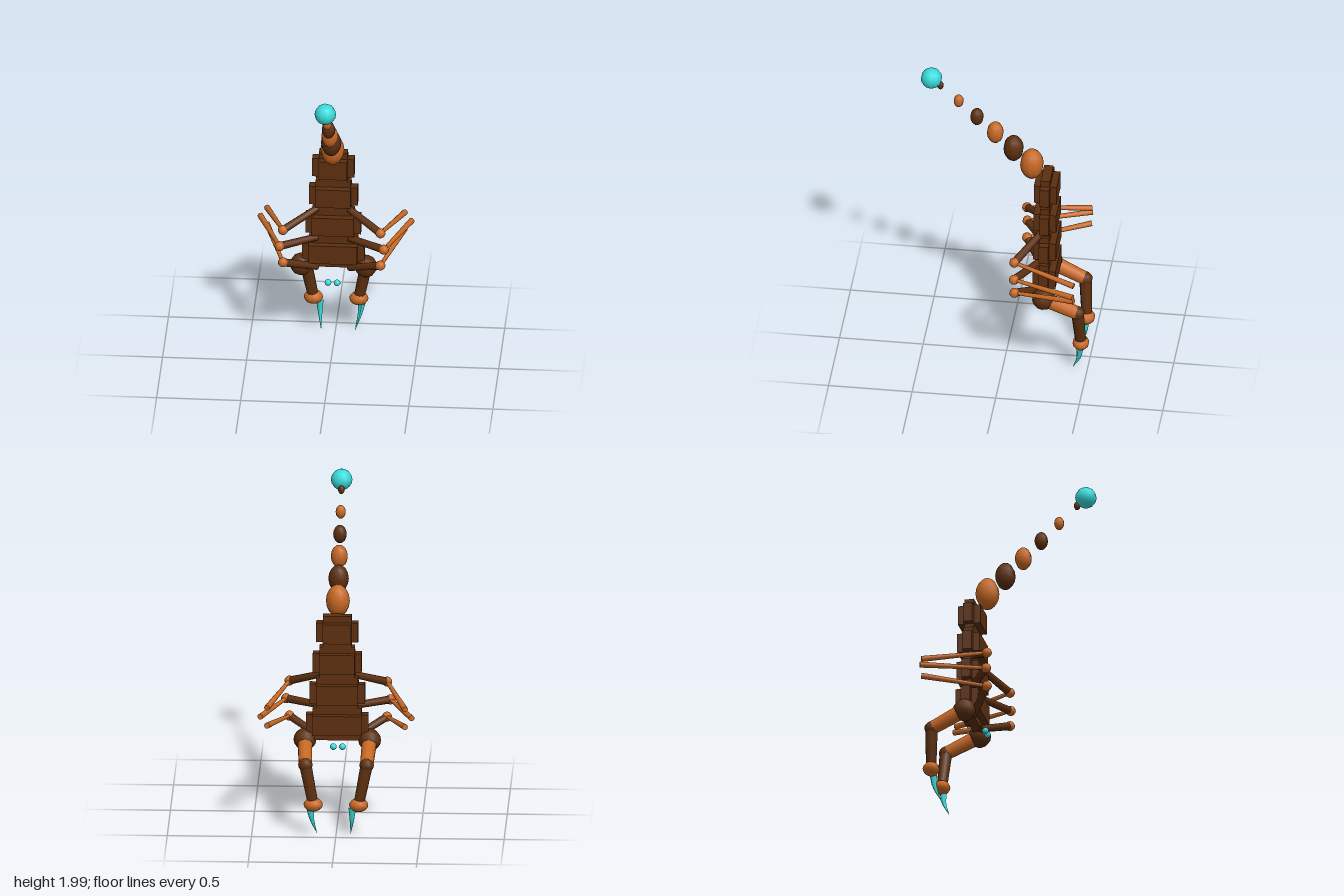
import * as THREE from 'three';

const dark = new THREE.MeshStandardMaterial({ color: 0x5c2f0f });
dark.name = 'dark brown';
const orange = new THREE.MeshStandardMaterial({ color: 0xc66824 });
orange.name = 'orange brown';
const cyan = new THREE.MeshStandardMaterial({ color: 0x38dada });
cyan.name = 'turquoise';

const V = (x, y, z) => new THREE.Vector3(x, y, z);

function add(parent, name, geometry, material) {
  const mesh = new THREE.Mesh(geometry, material);
  mesh.name = name;
  parent.add(mesh);
  return mesh;
}

// Ellipsoid joint
function ball(parent, name, material, p, rx, ry = rx, rz = rx) {
  const mesh = add(parent, name, new THREE.SphereGeometry(1, 10, 8), material);
  mesh.position.copy(p);
  mesh.scale.set(rx, ry, rz);
}

// Tapered limb from a to b
function limb(parent, name, material, a, b, ra, rb) {
  const d = b.clone().sub(a);
  const mesh = add(parent, name, new THREE.CylinderGeometry(rb, ra, d.length(), 10), material);
  mesh.position.copy(a).addScaledVector(d, 0.5);
  mesh.quaternion.setFromUnitVectors(V(0, 1, 0), d.normalize());
}

// Curved claw: a tube whose rings shrink towards the tip
function claw(parent, points, radius) {
  const curve = new THREE.CatmullRomCurve3(points);
  const rings = 8, sides = 8;
  const geo = new THREE.TubeGeometry(curve, rings, radius, sides);
  const pos = geo.attributes.position;
  const v = V(0, 0, 0);
  for (let i = 0; i < pos.count; i++) {
    const t = Math.floor(i / (sides + 1)) / rings;
    const c = curve.getPointAt(t);
    v.fromBufferAttribute(pos, i).sub(c).multiplyScalar(1 - 0.97 * t).add(c);
    pos.setXYZ(i, v.x, v.y, v.z);
  }
  geo.computeVertexNormals();
  add(parent, 'claw', geo, cyan);
}

export function createModel() {
  const model = new THREE.Group();
  model.name = 'creature';

  // Torso: four stepped blocks, each made of three crossing boxes
  const h = 0.2, d = 0.137, r = 0.04;
  [[0.64, 0.37], [0.828, 0.33], [1.02, 0.29], [1.21, 0.25]].forEach(([y, w]) => {
    const block = new THREE.Group();
    block.name = 'torsoSegment';
    block.position.set(0, y, -0.242);
    add(block, 'core', new THREE.BoxGeometry(w - 2 * r, h, d - 2 * r), dark);
    add(block, 'sidePlates', new THREE.BoxGeometry(w, h - 2 * r, d - 2 * r), dark);
    add(block, 'frontAndBackPlates', new THREE.BoxGeometry(w - 2 * r, h - 2 * r, d), dark);
    model.add(block);
  });

  // Tail: beads shrinking towards the glowing tip
  const tail = new THREE.Group();
  tail.name = 'tail';
  for (let i = 0; i < 6; i++) {
    const s = 0.071 - 0.0103 * i;
    ball(tail, 'tailBead', i % 2 ? dark : orange,
      V(0, 1.372 + 0.1035 * i, -0.151 + 0.1095 * i), s, s * 1.4, s);
  }
  ball(tail, 'tailTip', cyan, V(0, 1.936, 0.45), 0.064);
  model.add(tail);

  for (const s of [-1, 1]) {
    // Eyes under the torso
    ball(model, 'eye', cyan, V(s * 0.027, 0.465, -0.157), 0.02);

    // Hind leg
    const leg = new THREE.Group();
    leg.name = s > 0 ? 'leftLeg' : 'rightLeg';
    const hip = V(s * 0.192, 0.537, -0.245);
    const knee = V(s * 0.182, 0.443, -0.448);
    const foot = V(s * 0.135, 0.2, -0.462);
    ball(leg, 'hip', dark, hip, 0.068);
    limb(leg, 'thigh', orange, hip, knee, 0.046, 0.04);
    ball(leg, 'knee', dark, knee, 0.043);
    limb(leg, 'shin', dark, knee, foot, 0.038, 0.032);
    ball(leg, 'foot', orange, foot, 0.057, 0.042, 0.05);
    const [bx, mx, tx] = s > 0 ? [0.155, 0.142, 0.115] : [-0.097, -0.094, -0.086];
    claw(leg, [V(bx, 0.185, -0.458), V(mx, 0.1, -0.45), V(tx, 0.008, -0.412)], 0.023);
    model.add(leg);

    // Three arms: shoulder height, elbow x and y, tip x and y
    for (const [sy, ex, ey, tx2, ty] of [
      [0.935, 0.29, 0.85, 0.41, 0.795],
      [0.74, 0.31, 0.74, 0.45, 0.74],
      [0.54, 0.29, 0.632, 0.41, 0.685],
    ]) {
      const arm = new THREE.Group();
      arm.name = s > 0 ? 'leftArm' : 'rightArm';
      const elbow = V(s * ex, ey, -0.084);
      limb(arm, 'upperArm', dark, V(s * 0.095, sy, -0.215), elbow, 0.021, 0.024);
      ball(arm, 'elbow', orange, elbow, 0.03);
      limb(arm, 'forearm', orange, elbow, V(s * tx2, ty, -0.455), 0.011, 0.018);
      model.add(arm);
    }
  }
  return model;
}
